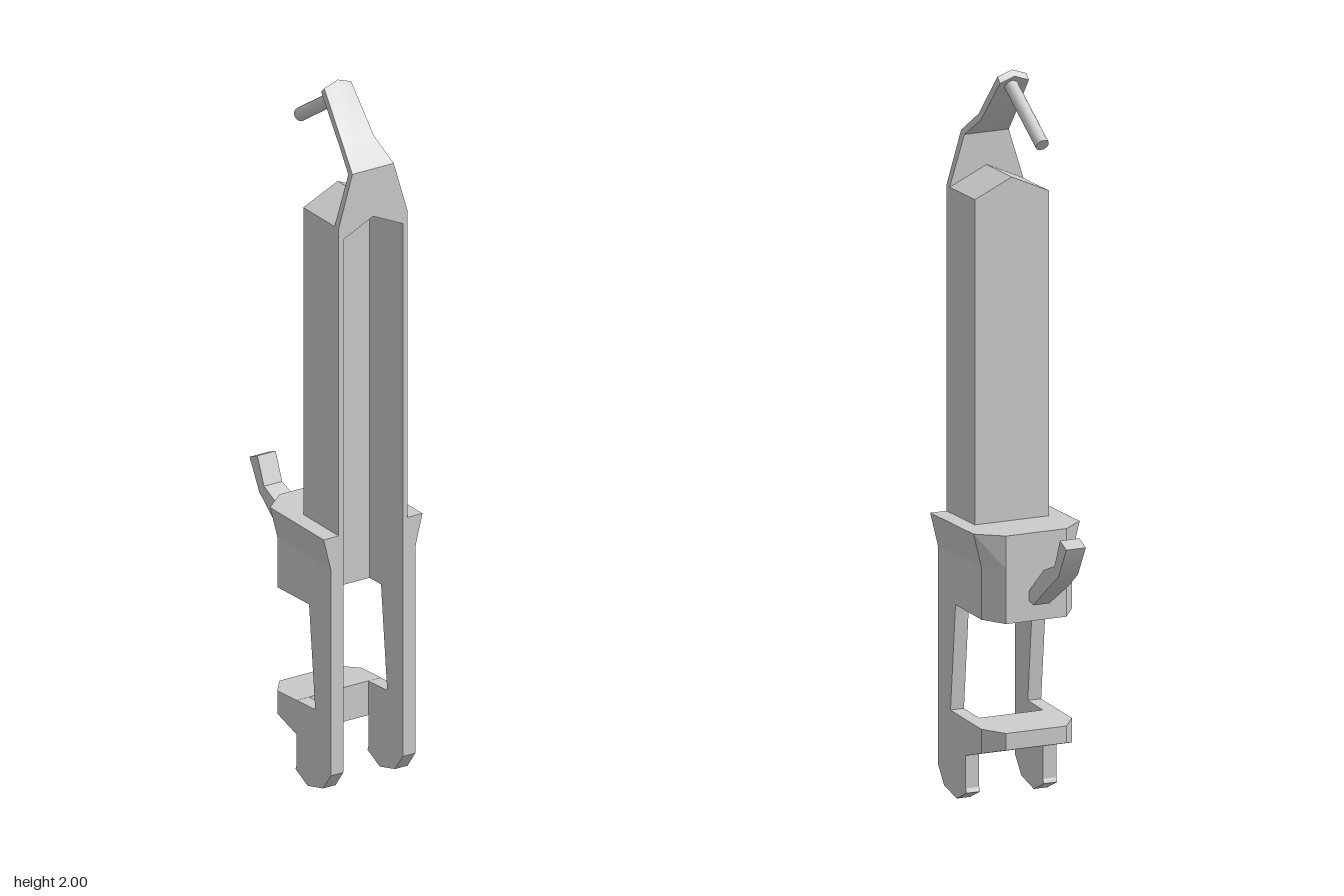
import * as THREE from 'three';
import { toCreasedNormals } from 'three/addons/utils/BufferGeometryUtils.js';

const material = new THREE.MeshStandardMaterial({ color: 0xcccccc });

function shapeFrom(points) {
  return new THREE.Shape(points.map(([x, y]) => new THREE.Vector2(x, y)));
}

// Moves every vertex by a rule, then recomputes sharp or creased normals.
function reshape(geometry, rule, crease = 0.2) {
  const p = geometry.attributes.position;
  const v = new THREE.Vector3();
  for (let i = 0; i < p.count; i++) {
    v.fromBufferAttribute(p, i);
    rule(v);
    p.setXYZ(i, v.x, v.y, v.z);
  }
  return toCreasedNormals(geometry, crease);
}

// Upright prism over an (x, z) outline; bottom and top heights follow z.
function prism(outline, bottom, top, flare = (x) => x) {
  const g = new THREE.ExtrudeGeometry(shapeFrom(outline.map(([x, z]) => [x, -z])), { depth: 1, bevelEnabled: false });
  g.rotateX(-Math.PI / 2);
  return reshape(g, (v) => {
    const upper = v.y > 0.5;
    v.y = upper ? top(v.z) : bottom(v.z);
    if (upper) v.x = flare(v.x);
  });
}

// Bent strip; each row is [half width, front y, front z, back y, back z, centre rise].
function strip(rows) {
  const n = rows.length - 1;
  return reshape(new THREE.BoxGeometry(2, n, 1, 2, n, 1), (v) => {
    const [w, fy, fz, by, bz, rise = 0] = rows[Math.round(v.y + n / 2)];
    const front = v.z > 0;
    v.y = (front ? fy : by) + rise * (1 - Math.abs(v.x));
    v.z = front ? fz : bz;
    v.x *= w;
  }, 0.5);
}

// Completes a half outline by mirroring it across x = 0.
const mirrored = (half) => [...half, ...half.map(([x, z]) => [-x, z]).reverse()];

export function createModel() {
  const group = new THREE.Group();
  const add = (name, geometry) => {
    const mesh = new THREE.Mesh(geometry, material);
    mesh.name = name;
    group.add(mesh);
    return mesh;
  };

  // Tall channel, open to the front
  const channel = mirrored([[0.095, 0.115], [0.095, 0.275], [0.11, 0.275], [0.11, 0.105]]);
  add('channel', prism(channel, () => 0.76, () => 1.655));

  // Gabled cap over the channel
  const roof = new THREE.ExtrudeGeometry(shapeFrom([
    [-0.11, 1.655], [-0.11, 1.613], [0, 1.665], [0.11, 1.613], [0.11, 1.655], [0, 1.705],
  ]), { depth: 0.15, bevelEnabled: false });
  add('roof', roof.translate(0, 0, 0.105));

  // Gable closing the top of the back wall
  const gable = new THREE.ExtrudeGeometry(shapeFrom([
    [-0.1, 1.6], [0.1, 1.6], [0.1, 1.64], [0, 1.69], [-0.1, 1.64],
  ]), { depth: 0.01, bevelEnabled: false });
  add('backGable', gable.translate(0, 0, 0.105));

  // Sleeve around the channel, flaring outwards at its rim
  const sleeve = mirrored([[0.095, 0.115], [0.095, 0.275], [0.135, 0.275], [0.135, 0.018], [0.09, -0.04]]);
  const underside = (z) => 0.535 - Math.max(0, 0.17 - z) * 0.07;
  add('sleeve', prism(sleeve, underside, () => 0.67));
  add('sleeveRim', prism(sleeve, () => 0.67, () => 0.762,
    (x) => (Math.abs(x) > 0.13 ? Math.sign(x) * 0.158 : x)));

  // Two legs with rounded feet
  const legProfile = shapeFrom([
    [0.275, 0.535], [0.17, 0.535], [0.2, 0.235], [0.11, 0.229], [0.11, 0.04],
    [0.105, 0.028], [0.164, 0], [0.238, 0.02], [0.275, 0.07],
  ]);
  for (const [name, outerX] of [['leftLeg', 0.135], ['rightLeg', -0.095]]) {
    const leg = new THREE.ExtrudeGeometry(legProfile, { depth: 0.04, bevelEnabled: false });
    add(name, leg.rotateY(-Math.PI / 2).translate(outerX, 0, 0));
  }

  // Lower jaw joining the legs
  const jaw = mirrored([[0.135, 0.11], [0.135, 0.018], [0.09, -0.04]]);
  add('lowerJaw', prism(jaw, (z) => 0.13 + (0.11 - z) * 0.29, (z) => 0.235 - (0.2 - z) * 0.0625));

  // Tapered neck bending backwards above the channel
  add('neck', strip([
    [0.11, 1.613, 0.275, 1.613, 0.255, 0.052],
    [0.11, 1.655, 0.275, 1.655, 0.255, 0.02],
    [0.066, 1.803, 0.275, 1.795, 0.255],
    [0.05, 1.862, 0.203, 1.847, 0.19],
    [0.043, 1.985, 0.105, 1.97, 0.09, 0.015],
  ]));

  // Round pin pointing back and down from the neck
  const from = new THREE.Vector3(0, 1.957, 0.112);
  const to = new THREE.Vector3(0, 1.833, -0.075);
  const axis = to.clone().sub(from);
  const pin = add('pin', new THREE.CylinderGeometry(0.019, 0.019, axis.length(), 12));
  pin.position.copy(from).add(to).multiplyScalar(0.5);
  pin.quaternion.setFromUnitVectors(new THREE.Vector3(0, 1, 0), axis.normalize());

  // Bent lever behind the sleeve
  add('lever', strip([
    [0.022, 0.603, -0.04, 0.577, -0.04],
    [0.024, 0.62, -0.06, 0.571, -0.069],
    [0.031, 0.686, -0.145, 0.64, -0.168],
    [0.029, 0.71, -0.205, 0.685, -0.228],
    [0.029, 0.787, -0.237, 0.77, -0.275],
  ]));

  return group;
}
